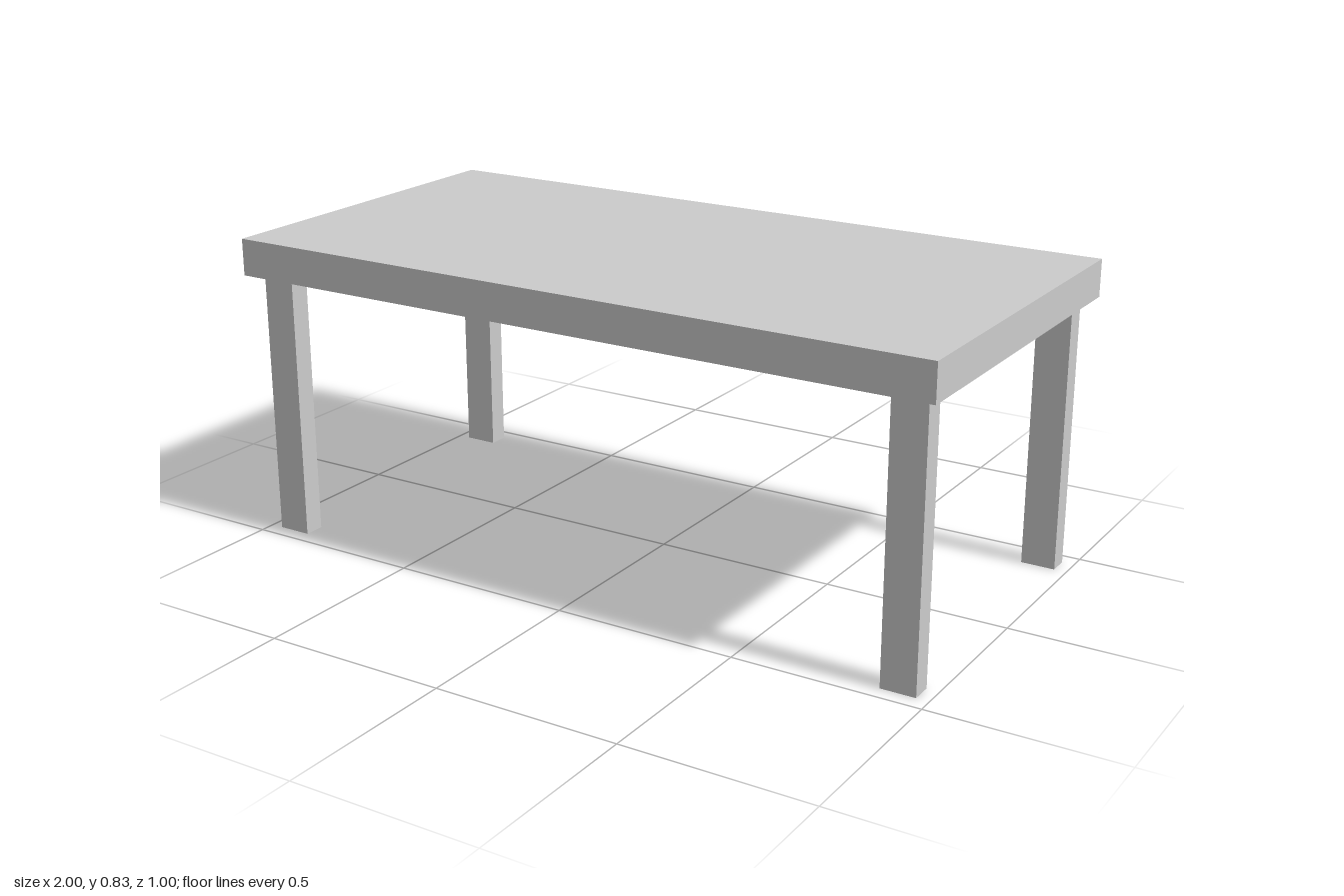
import * as THREE from 'three';

const material = new THREE.MeshStandardMaterial({ color: 0xcccccc, flatShading: true });

function box(name, [w, h, d], [x, y, z]) {
  const mesh = new THREE.Mesh(new THREE.BoxGeometry(w, h, d), material);
  mesh.name = name;
  mesh.position.set(x, y, z);
  return mesh;
}

export function createModel() {
  const table = new THREE.Group();
  table.name = 'table';

  const legHeight = 0.73;
  const topThickness = 0.1;

  // Solid slab top
  table.add(box('tableTop', [2, topThickness, 1], [0, legHeight + topThickness / 2, 0]));

  // Four rectangular legs, inset from the corners
  for (const [endName, sz] of [['front', 1], ['back', -1]]) {
    for (const [sideName, sx] of [['Left', 1], ['Right', -1]]) {
      table.add(box(`${endName}${sideName}Leg`, [0.093, legHeight, 0.057],
        [sx * 0.92, legHeight / 2, sz * 0.429]));
    }
  }

  return table;
}
